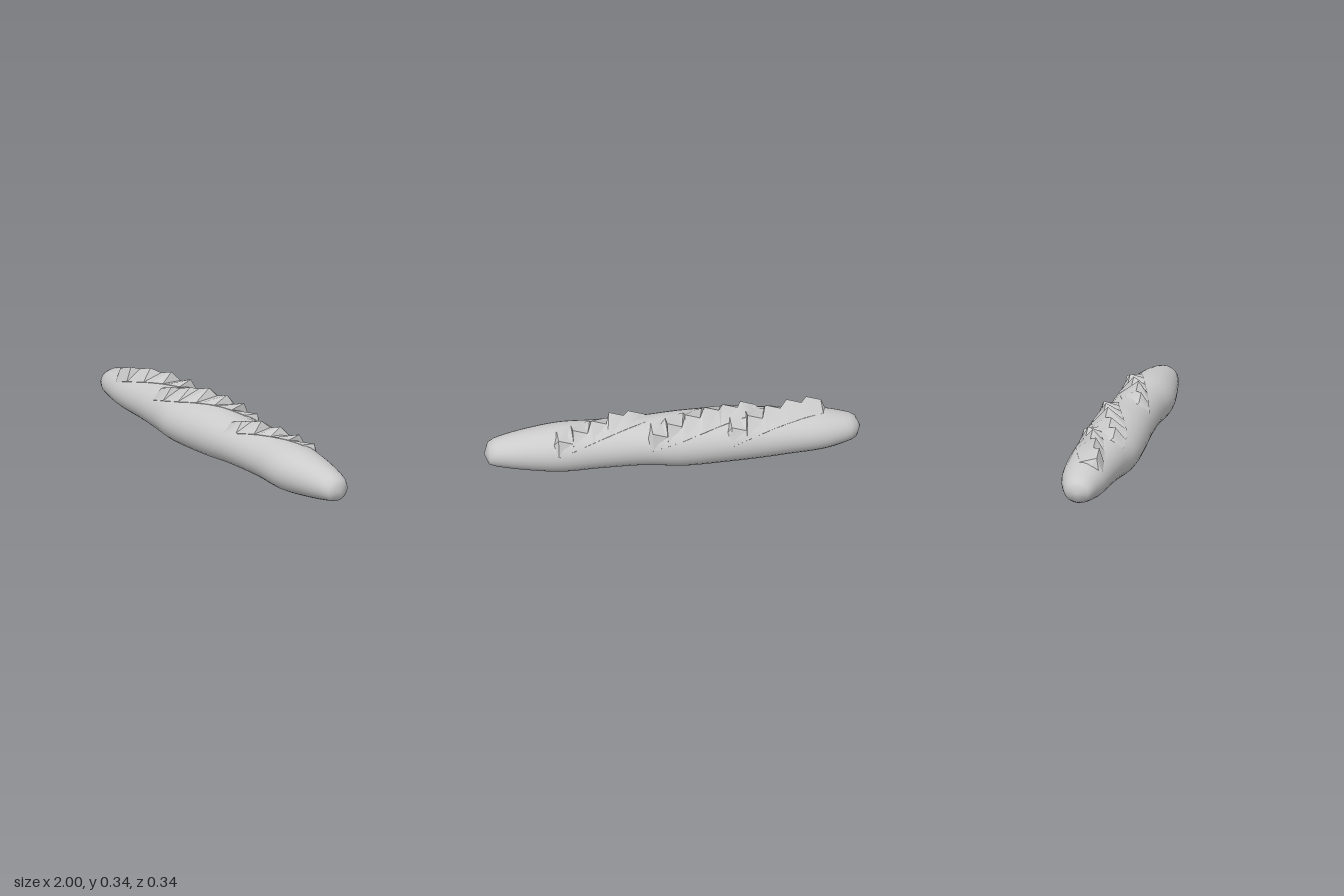
import * as THREE from 'three';
import { toCreasedNormals } from 'three/addons/utils/BufferGeometryUtils.js';

const AXIS_Y = 0.14;

// Loaf outline stations: x, bottom y, top y, back z, front z
const OUTLINE = [
  [-0.975, 0.08, 0.19, -0.06, 0.06], [-0.94, 0.065, 0.21, -0.085, 0.08],
  [-0.8, 0.037, 0.245, -0.128, 0.112], [-0.6, 0.025, 0.265, -0.148, 0.128],
  [-0.45, 0.013, 0.275, -0.155, 0.143], [-0.3, 0.005, 0.28, -0.161, 0.166],
  [-0.05, 0.004, 0.287, -0.168, 0.155], [0.15, 0.02, 0.277, -0.146, 0.139],
  [0.4, 0.023, 0.275, -0.145, 0.131], [0.6, 0.019, 0.274, -0.146, 0.14],
  [0.8, 0.043, 0.25, -0.117, 0.11], [0.94, 0.069, 0.218, -0.083, 0.078],
  [0.975, 0.08, 0.197, -0.065, 0.062],
];

// Smooth (cubic Hermite) lookup of one outline column
function outline(x, c) {
  const P = OUTLINE, n = P.length;
  let i = 0;
  while (i < n - 2 && x > P[i + 1][0]) i++;
  const slope = (k) => {
    const a = P[Math.max(k - 1, 0)], b = P[Math.min(k + 1, n - 1)];
    return (b[c] - a[c]) / (b[0] - a[0]);
  };
  const d = P[i + 1][0] - P[i][0], t = (x - P[i][0]) / d, u = 1 - t;
  return P[i][c] * (1 + 2 * t) * u * u + slope(i) * d * t * u * u
    + P[i + 1][c] * t * t * (3 - 2 * t) - slope(i + 1) * d * t * t * u;
}

// Point on the crust; angle 0 is up, positive leans to the front
function crust(x, angle, lift = 0) {
  const [lo, hi, back, front] = [1, 2, 3, 4].map((c) => outline(x, c));
  const s = Math.sin(angle), c = Math.cos(angle);
  const midY = (lo + hi) / 2, midZ = (back + front) / 2;
  return new THREE.Vector3(
    x,
    midY + c * ((hi - lo) / 2 + lift),
    midZ + s * ((front - back) / 2 + lift),
  );
}

// Skin equal-length rows of points into one surface
function skin(rows) {
  const cols = rows[0].length, index = [];
  for (let i = 0; i < rows.length - 1; i++) {
    for (let j = 0; j < cols - 1; j++) {
      const a = i * cols + j, b = a + cols;
      index.push(a, a + 1, b, a + 1, b + 1, b);
    }
  }
  const geometry = new THREE.BufferGeometry().setFromPoints(rows.flat());
  geometry.setIndex(index);
  geometry.computeVertexNormals();
  return geometry;
}

function loafGeometry() {
  const SIDES = 28, LENGTH = 64;
  const pole = (x) => Array.from({ length: SIDES + 1 }, () => new THREE.Vector3(x, 0.135, 0));
  const rows = [pole(-1)];
  for (let i = 0; i <= LENGTH; i++) {
    const x = -0.975 + (1.95 * i) / LENGTH;
    rows.push(Array.from({ length: SIDES + 1 }, (_, j) => crust(x, (j / SIDES) * Math.PI * 2)));
  }
  rows.push(pole(1));
  return toCreasedNormals(skin(rows), 1.2);
}

// A diagonal cut whose torn crest rises in pleated steps
function flapGeometry(peaks) {
  const first = peaks[0][0] - 0.09, last = peaks[peaks.length - 1][0] + 0.03;
  const row = (x, y, z) => {
    const t = (x - first) / (last - first);
    const slit = 1.0 - 1.35 * t, back = slit - 1.15;
    const crest = new THREE.Vector3(x, y, z);
    return [
      crust(x, back - 0.1, -0.015), crust(x, back, 0.001),
      crest,
      crust(x, slit, 0.003), crust(x, slit + 0.03, -0.02),
    ];
  };
  const sunk = (x, slit) => [-1.25, -1.15, -0.6, 0, 0.03].map((a) => crust(x, slit + a, -0.01));
  const rows = [sunk(first - 0.015, 1.0)];
  for (const [x, y, z] of peaks) {
    rows.push(row(x - 0.08, y - 0.03, z + 0.006), row(x, y, z));
  }
  rows.push(sunk(last, -0.35));
  return toCreasedNormals(skin(rows), 0.45);
}

export function createModel() {
  const group = new THREE.Group();
  group.name = 'breadLoaf';
  const crustMaterial = new THREE.MeshStandardMaterial({ color: 0xcccccc });
  const flapMaterial = new THREE.MeshStandardMaterial({ color: 0xcccccc, side: THREE.DoubleSide });

  const loaf = new THREE.Mesh(loafGeometry(), crustMaterial);
  loaf.name = 'loafBody';
  group.add(loaf);

  // Crest peaks of each cut: x, y, z
  const cuts = [
    [[-0.72, 0.302, 0.057], [-0.61, 0.322, 0.012], [-0.49, 0.327, -0.035], [-0.39, 0.303, -0.085], [-0.3, 0.262, -0.128]],
    [[-0.37, 0.302, 0.06], [-0.27, 0.322, 0.012], [-0.165, 0.342, -0.033], [-0.06, 0.327, -0.07], [0.04, 0.303, -0.105], [0.12, 0.262, -0.133]],
    [[0.225, 0.302, 0.052], [0.335, 0.328, 0.01], [0.435, 0.315, -0.04], [0.54, 0.293, -0.085], [0.62, 0.257, -0.122]],
  ];
  cuts.forEach((peaks, i) => {
    const flap = new THREE.Mesh(flapGeometry(peaks), flapMaterial);
    flap.name = `crustFlap${i + 1}`;
    group.add(flap);
  });
  return group;
}
